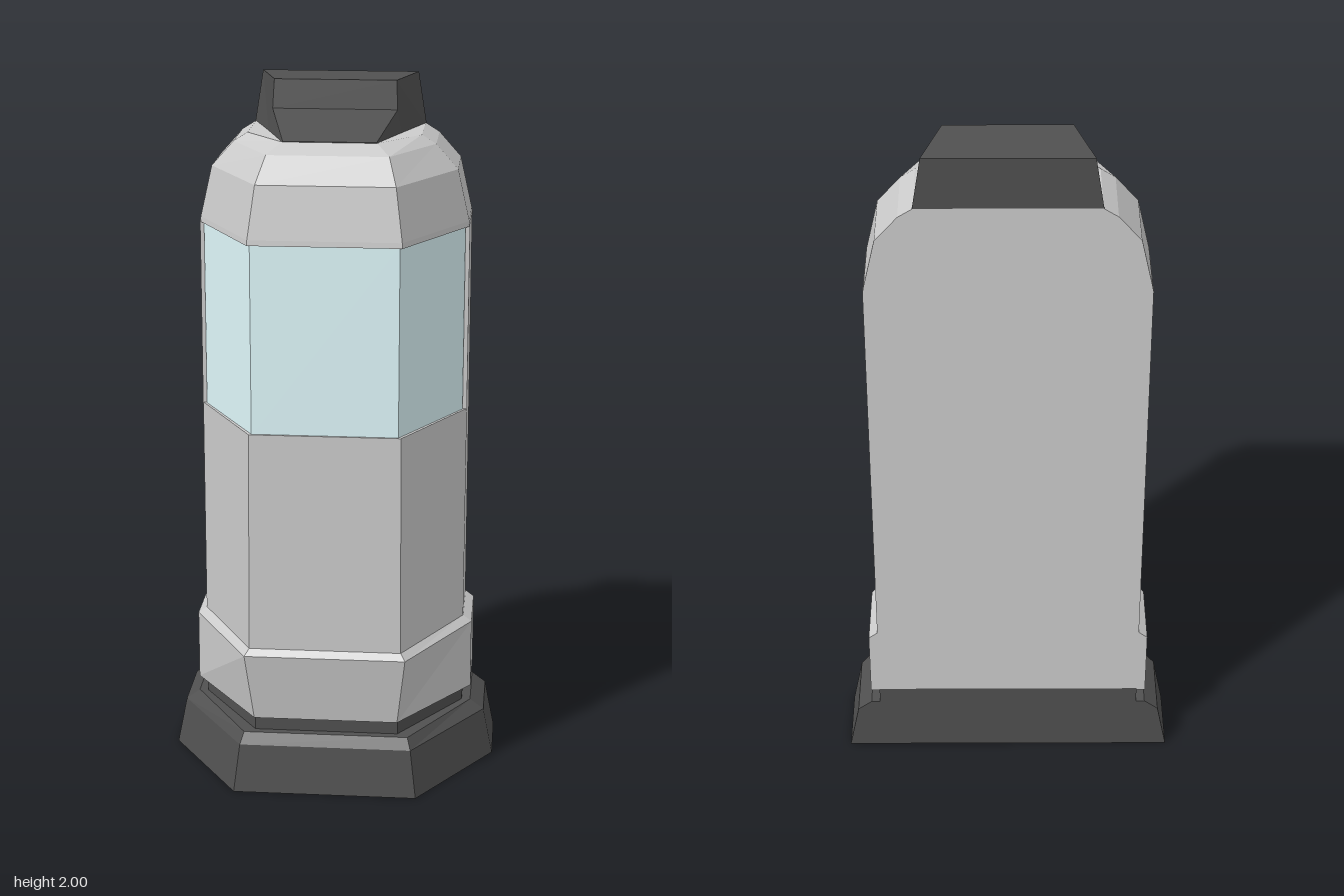
import * as THREE from 'three';

const BACK = -0.27;
const grey = new THREE.MeshStandardMaterial({ color: 0xcccccc, flatShading: true });
const dark = new THREE.MeshStandardMaterial({ color: 0x505050, flatShading: true });
const glass = new THREE.MeshStandardMaterial({ color: 0xdff8fb, flatShading: true });

// Joins matching rings of points into a closed, flat-faced solid
function loft(name, rings, material) {
  const pos = [];
  const tri = (...pts) => pts.forEach((p) => pos.push(...p));
  const n = rings[0].length;
  for (let r = 0; r < rings.length - 1; r++) {
    const a = rings[r], b = rings[r + 1];
    for (let i = 0; i < n; i++) {
      const j = (i + 1) % n;
      tri(a[i], a[j], b[j]);
      tri(a[i], b[j], b[i]);
    }
  }
  const first = rings[0], last = rings[rings.length - 1];
  for (let i = 1; i < n - 1; i++) {
    tri(first[0], first[i + 1], first[i]);
    tri(last[0], last[i], last[i + 1]);
  }
  const geometry = new THREE.BufferGeometry();
  geometry.setAttribute('position', new THREE.Float32BufferAttribute(pos, 3));
  geometry.computeVertexNormals();
  const mesh = new THREE.Mesh(geometry, material);
  mesh.name = name;
  return mesh;
}

// Half-hexagon section: half width, front half width, front z, side corner z, back z
function section(y, hw, fw, zf, zc = -0.063, zb = BACK) {
  return [[-hw, y, zb], [-hw, y, zc], [-fw, y, zf], [fw, y, zf], [hw, y, zc], [hw, y, zb]];
}

// Upright trapezoid at a given z, used for the cap
function slice(z, bottomW, topW, topY) {
  const y = 1.85;
  return [[-bottomW, y, z], [bottomW, y, z], [topW, topY, z], [-topW, topY, z]];
}

export function createModel() {
  const model = new THREE.Group();
  model.name = 'kiosk';

  // Flared plinth and recessed neck
  model.add(loft('base', [
    section(0, 0.473, 0.262, 0.27),
    section(0.14, 0.445, 0.245, 0.252),
    section(0.17, 0.405, 0.235, 0.228),
  ], dark));
  model.add(loft('neck', [
    section(0.165, 0.38, 0.205, 0.205),
    section(0.22, 0.38, 0.205, 0.205),
  ], dark));

  // Lower body with the leaning skirt band
  model.add(loft('lowerBody', [
    section(0.215, 0.405, 0.205, 0.228),
    section(0.418, 0.405, 0.228, 0.264),
    section(0.437, 0.38, 0.215, 0.249),
    section(1.07, 0.38, 0.21, 0.249),
  ], grey));

  // Spine behind the wraparound window
  const spine = new THREE.Mesh(new THREE.BoxGeometry(0.76, 0.54, 0.21), grey);
  spine.name = 'spine';
  spine.position.set(0, 1.335, BACK + 0.105);
  model.add(spine);
  model.add(loft('window', [
    section(1.065, 0.368, 0.203, 0.243, -0.055, -0.1),
    section(1.605, 0.368, 0.203, 0.243, -0.055, -0.1),
  ], glass));

  // Faceted head tapering to the roof
  model.add(loft('head', [
    section(1.6, 0.38, 0.21, 0.249),
    section(1.615, 0.378, 0.209, 0.247),
    section(1.76, 0.345, 0.19, 0.22),
    section(1.83, 0.283, 0.167, 0.155),
    section(1.855, 0.243, 0.13, 0.09),
  ], grey));

  // Cap with a raised rear block and sloped nose
  model.add(loft('cap', [
    slice(BACK, 0.246, 0.222, 2),
    slice(-0.092, 0.187, 0.17, 2),
    slice(-0.08, 0.183, 0.174, 1.92),
    slice(0.09, 0.13, 0.128, 1.857),
  ], dark));

  return model;
}
